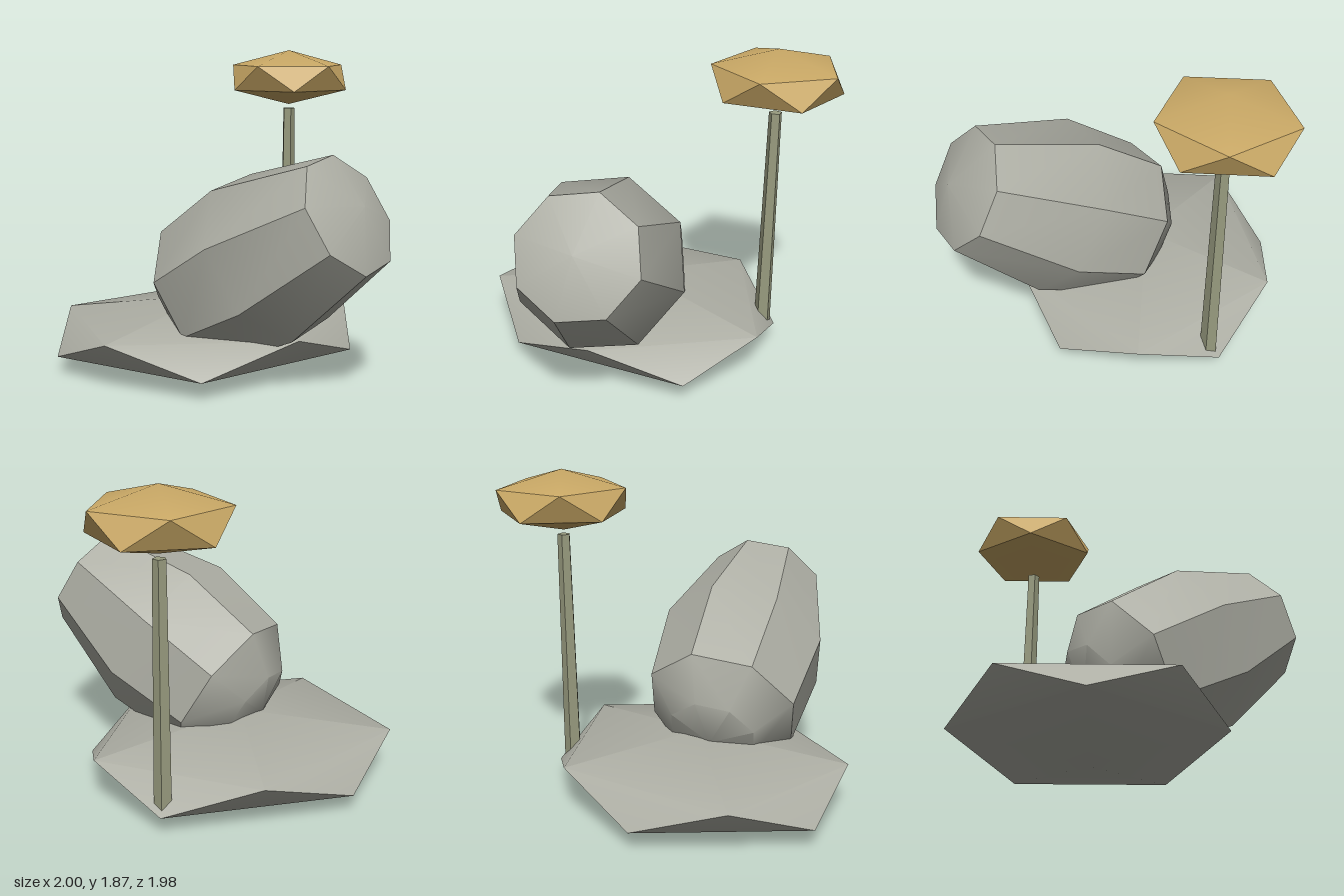
import * as THREE from 'three';
import { toCreasedNormals } from 'three/addons/utils/BufferGeometryUtils.js';
import { ConvexGeometry } from 'three/addons/geometries/ConvexGeometry.js';

function material(name, color) {
  const m = new THREE.MeshStandardMaterial({ color });
  m.name = name;
  return m;
}

// Squashed icosahedron: two poles and two opposed five-point rings
function gem(rx, ry, rz) {
  const points = [new THREE.Vector3(0, ry, 0), new THREE.Vector3(0, -ry, 0)];
  for (let i = 0; i < 5; i++) {
    const a = (i * Math.PI * 2) / 5;
    const x = rx * Math.cos(a), z = rz * Math.sin(a), y = ry * 0.447;
    points.push(new THREE.Vector3(x, y, z), new THREE.Vector3(-x, -y, -z));
  }
  return toCreasedNormals(new ConvexGeometry(points), 0.73);
}

export function createModel() {
  const group = new THREE.Group();
  const stone = material('stone grey', 0xadaea4);
  const stalk = material('stalk grey green', 0x989b7f);
  const gold = material('cap gold', 0xcaa966);

  const add = (name, geometry, mat, x, y, z) => {
    const mesh = new THREE.Mesh(geometry, mat);
    mesh.name = name;
    mesh.position.set(x, y, z);
    group.add(mesh);
    return mesh;
  };

  // Flat ground slab
  add('baseSlab', gem(0.925, 0.2, 0.782), stone, -0.075, 0.2, -0.232);

  // Tilted eight-sided boulder, turned about its long axis
  const profile = [[0, -1.36], [0.262, -1.3], [0.457, -1.1], [0.51, -0.6], [0.35, 0], [0, 0.11]]
    .map(([r, y]) => new THREE.Vector2(r, y));
  const boulder = add('boulder', toCreasedNormals(new THREE.LatheGeometry(profile, 8), 0.62),
    stone, 0.38, 1.035, 0.765);
  const axis = new THREE.Vector3(0.432, 0.49, 0.757).normalize();
  const up = new THREE.Vector3(-0.03, 0.84, -0.53);
  up.addScaledVector(axis, -up.dot(axis)).normalize();
  const side = new THREE.Vector3().crossVectors(axis, up);
  boulder.quaternion.setFromRotationMatrix(new THREE.Matrix4().makeBasis(side, axis, up));

  // Thin stalk and the cap floating above it
  const stem = toCreasedNormals(new THREE.CylinderGeometry(0.038, 0.051, 1.36, 5), 0.6);
  add('stalk', stem, stalk, 0.625, 0.82, -0.63);
  add('cap', gem(0.375, 0.173, 0.375), gold, 0.625, 1.698, -0.63);

  return group;
}
